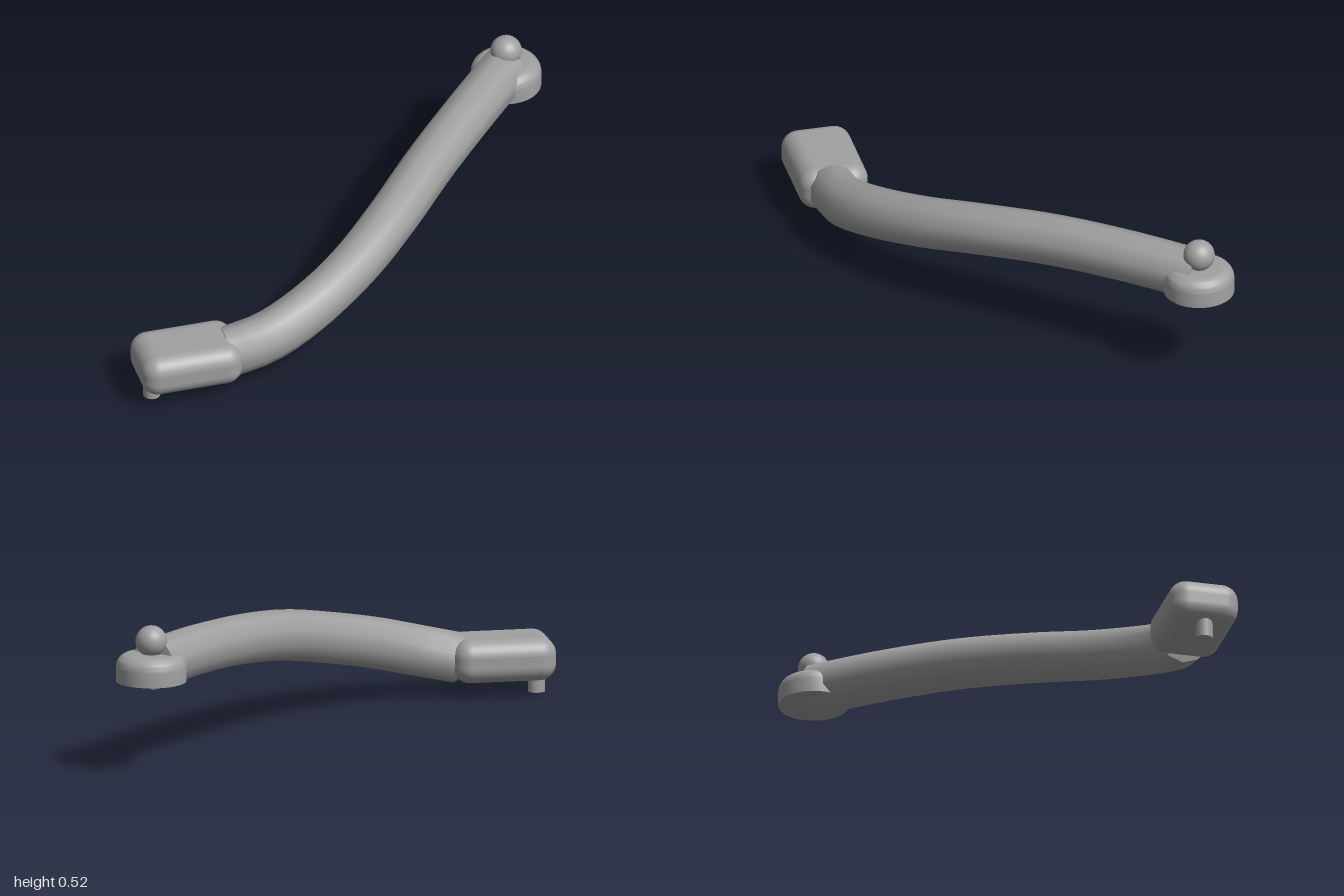
import * as THREE from 'three';
import { toCreasedNormals } from 'three/addons/utils/BufferGeometryUtils.js';
import { RoundedBoxGeometry } from 'three/addons/geometries/RoundedBoxGeometry.js';

// Ten-sided tube swept along a curve, one edge kept on top, closed at both ends
function sweepTube(curve, radius, sides, steps) {
  const positions = [], indices = [];
  const worldUp = new THREE.Vector3(0, 1, 0);
  const addRing = (t, r) => {
    const centre = curve.getPointAt(t), tangent = curve.getTangentAt(t);
    const side = worldUp.clone().cross(tangent).normalize();
    const up = tangent.clone().cross(side);
    for (let j = 0; j < sides; j++) {
      const a = (j / sides) * Math.PI * 2;
      const p = centre.clone()
        .addScaledVector(up, r * Math.cos(a))
        .addScaledVector(side, r * Math.sin(a));
      positions.push(p.x, p.y, p.z);
    }
  };
  addRing(0, 0);
  for (let i = 0; i <= steps; i++) addRing(i / steps, radius);
  addRing(1, 0);
  for (let i = 0; i < steps + 2; i++) {
    for (let j = 0; j < sides; j++) {
      const k = (j + 1) % sides;
      const a = i * sides + j, b = i * sides + k;
      const c = a + sides, d = b + sides;
      if (i > 0) indices.push(a, c, b);
      if (i < steps + 1) indices.push(b, c, d);
    }
  }
  const geometry = new THREE.BufferGeometry();
  geometry.setAttribute('position', new THREE.Float32BufferAttribute(positions, 3));
  geometry.setIndex(indices);
  return toCreasedNormals(geometry, 0.8);
}

export function createModel() {
  const model = new THREE.Group();
  model.name = 'curvedArm';
  const grey = new THREE.MeshStandardMaterial({ color: 0xa0a0a0 });
  grey.name = 'grey';

  const add = (name, geometry, x = 0, y = 0, z = 0) => {
    const mesh = new THREE.Mesh(geometry, grey);
    mesh.name = name;
    mesh.position.set(x, y, z);
    model.add(mesh);
    return mesh;
  };

  // Curved arm rising from the head to the pivot
  const path = new THREE.CatmullRomCurve3([
    [0.245, 0.385, -0.875], [0.24, 0.382, -0.6], [0.232, 0.362, -0.3],
    [0.224, 0.32, 0], [0.196, 0.27, 0.23], [0.13, 0.213, 0.46],
    [0.04, 0.163, 0.62], [-0.062, 0.131, 0.715],
  ].map((p) => new THREE.Vector3(...p)));
  add('arm', sweepTube(path, 0.09, 10, 32));

  // Pivot disc with a rounded upper rim
  const rim = 0.045, R = 0.123, top = 0.097;
  const profile = [new THREE.Vector2(0, 0), new THREE.Vector2(R, 0)];
  for (let i = 0; i <= 8; i++) {
    const a = (i / 8) * Math.PI / 2;
    profile.push(new THREE.Vector2(R - rim + rim * Math.cos(a), top - rim + rim * Math.sin(a)));
  }
  profile.push(new THREE.Vector2(0, top));
  add('pivotDisc', toCreasedNormals(new THREE.LatheGeometry(profile, 40), 0.6), 0.25, 0.328, -0.877);

  // Ball on top of the pivot
  add('pivotBall', new THREE.SphereGeometry(0.055, 32, 20), 0.25, 0.469, -0.877);

  // Rounded head at the front, turned to follow the arm
  const head = add('head', new RoundedBoxGeometry(0.363, 0.153, 0.246, 6, 0.06), -0.18, 0.131, 0.81);
  head.rotation.y = 0.716;

  // Small pin under the head
  add('pin', new THREE.CylinderGeometry(0.03, 0.03, 0.08, 24), -0.273, 0.04, 0.895);

  return model;
}
